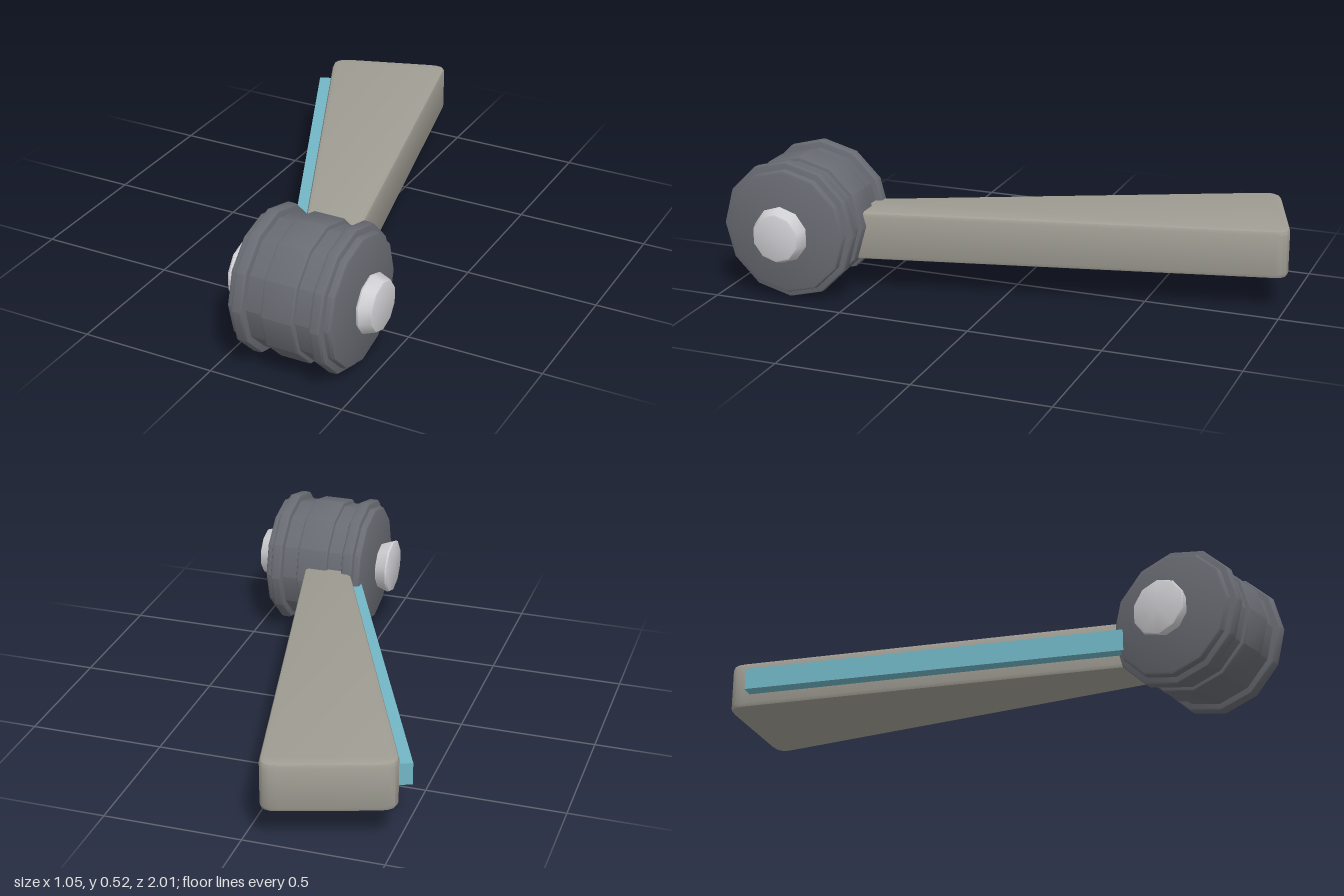
import * as THREE from 'three';
import { toCreasedNormals } from 'three/addons/utils/BufferGeometryUtils.js';

const CREASE = 0.6;
const AXLE_Y = 0.265, AXLE_Z = 0.74;

const drumGrey = new THREE.MeshStandardMaterial({ color: 0x686b72 });
drumGrey.name = 'drumGrey';
const armStone = new THREE.MeshStandardMaterial({ color: 0x9f9d93 });
armStone.name = 'armStone';
const stripTeal = new THREE.MeshStandardMaterial({ color: 0x72b6c6 });
stripTeal.name = 'stripTeal';
const capSilver = new THREE.MeshStandardMaterial({ color: 0xcfcfd3 });
capSilver.name = 'capSilver';

function addMesh(group, name, geometry, material) {
  const mesh = new THREE.Mesh(toCreasedNormals(geometry, CREASE), material);
  mesh.name = name;
  group.add(mesh);
  return mesh;
}

// Bevelled disc along x from x0 to x1, with a radius at each end
function disc(x0, x1, r0, r1, bevel, sides) {
  const h = bevel * 0.3;
  const profile = [
    [0, x0], [r0 - bevel, x0], [r0 - h, x0 + h], [r0, x0 + bevel],
    [r1, x1 - bevel], [r1 - h, x1 - h], [r1 - bevel, x1], [0, x1],
  ].map(([r, x]) => new THREE.Vector2(r, x));
  const geometry = new THREE.LatheGeometry(profile, sides, Math.PI / 2);
  geometry.rotateZ(-Math.PI / 2);
  geometry.translate(0, AXLE_Y, AXLE_Z);
  return geometry;
}

// Upright slab from a plan outline drawn as (x, -z)
function slab(shape, y0, y1, bevel) {
  const geometry = new THREE.ExtrudeGeometry(shape, {
    depth: y1 - y0 - 2 * bevel,
    bevelEnabled: bevel > 0,
    bevelThickness: bevel,
    bevelSize: bevel,
    bevelOffset: -bevel,
    bevelSegments: 2,
    curveSegments: 4,
  });
  geometry.rotateX(-Math.PI / 2);
  geometry.translate(0, y0 + bevel, 0);
  return geometry;
}

export function createModel() {
  const model = new THREE.Group();
  model.name = 'leverWithDrum';

  // Drum: core, centre band and two rims
  const drum = new THREE.Group();
  drum.name = 'drum';
  model.add(drum);
  addMesh(drum, 'drumCore', disc(0.057, 0.447, 0.235, 0.235, 0.012, 12), drumGrey);
  addMesh(drum, 'drumBand', disc(0.19, 0.315, 0.25, 0.25, 0.008, 12), drumGrey);
  [[0.083, 0.13], [0.374, 0.42]].forEach(([a, b], i) => {
    addMesh(drum, i ? 'leftRim' : 'rightRim', disc(a, b, 0.26, 0.26, 0.01, 12), drumGrey);
  });

  // Floating end caps, both narrowing towards +x
  addMesh(model, 'rightCap', disc(-0.02, 0.036, 0.107, 0.093, 0.009, 10), capSilver);
  addMesh(model, 'leftCap', disc(0.466, 0.522, 0.107, 0.093, 0.009, 10), capSilver);

  // Arm widening towards the back, with rounded far corners
  const armPlan = new THREE.Shape();
  armPlan.moveTo(0.13, -0.6);
  armPlan.lineTo(0.302, -0.6);
  armPlan.lineTo(-0.055, 0.968);
  armPlan.quadraticCurveTo(-0.067, 1.021, -0.13, 1.0);
  armPlan.lineTo(-0.447, 0.894);
  armPlan.quadraticCurveTo(-0.515, 0.871, -0.489, 0.81);
  armPlan.closePath();
  addMesh(model, 'arm', slab(armPlan, 0.133, 0.317, 0.017), armStone);

  // Strip along the right edge of the arm
  const stripPlan = new THREE.Shape([
    new THREE.Vector2(0.083, -0.6),
    new THREE.Vector2(0.13, -0.58),
    new THREE.Vector2(-0.473, 0.788),
    new THREE.Vector2(-0.525, 0.766),
  ]);
  addMesh(model, 'edgeStrip', slab(stripPlan, 0.183, 0.265, 0), stripTeal);

  return model;
}
